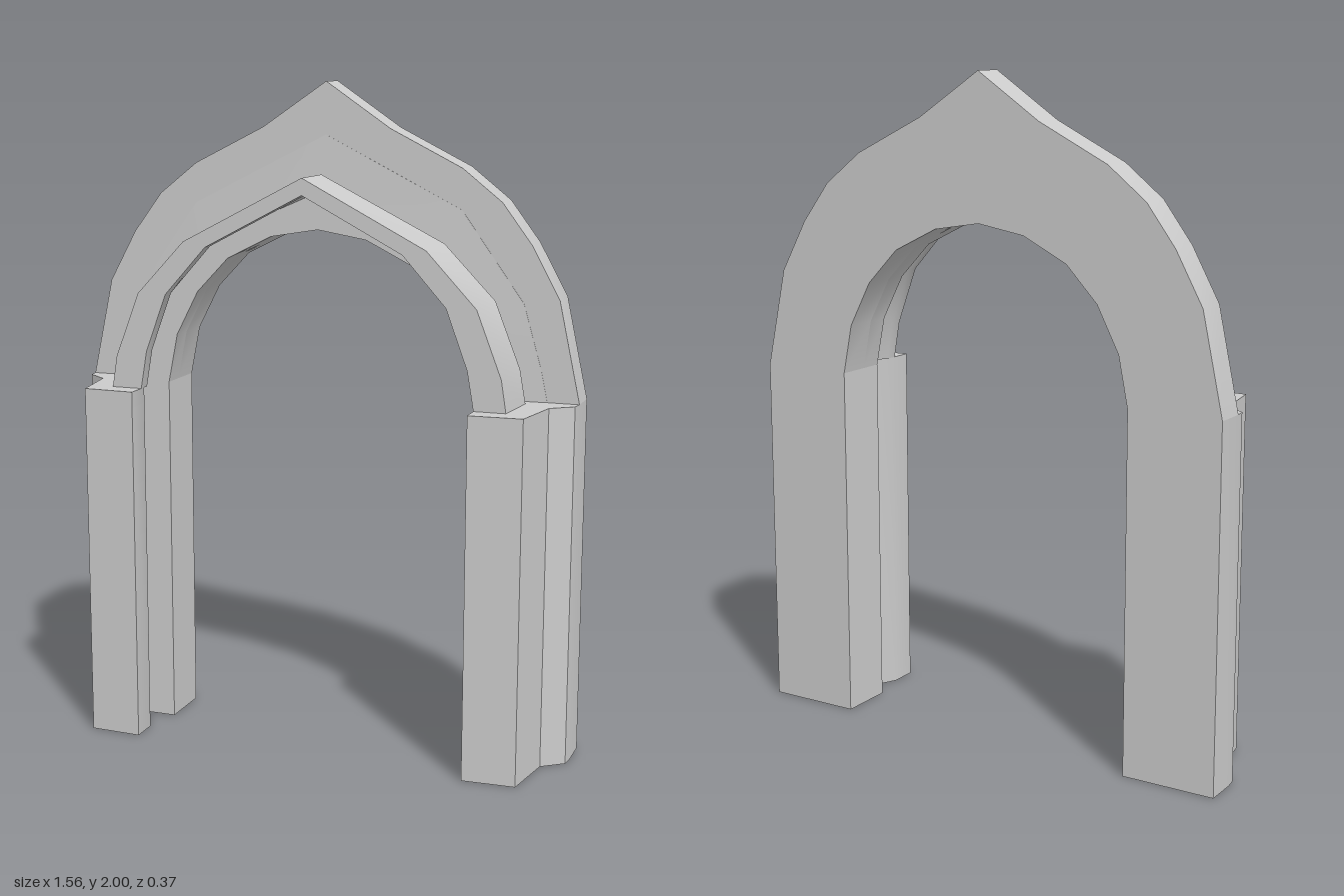
import * as THREE from 'three';
import { toCreasedNormals } from 'three/addons/utils/BufferGeometryUtils.js';

const SPRING = 1.085; // height where the arch leaves the pillars
const material = new THREE.MeshStandardMaterial({ color: 0xcccccc });

// Half rails of the arch, from the spring at +x up to the apex
const OUTER = [[0.78, SPRING], [0.715, 1.385], [0.63, 1.54], [0.54, 1.66], [0.42, 1.755], [0.2, 1.865], [0, 2]];
const OPENING = [[0.49, SPRING], [0.46, 1.235], [0.39, 1.37], [0.29, 1.475], [0.15, 1.545], [0, 1.57]];
const PANEL = [[0.685, SPRING], [0.665, 1.18], [0.61, 1.37], [0.42, 1.635], [0, 1.845]];
const MOULD_BACK = [[0.63, SPRING], [0.612, 1.185], [0.535, 1.38], [0.38, 1.54], [0, 1.73]];
const MOULD_FRONT = [[0.615, SPRING], [0.6, 1.18], [0.525, 1.375], [0.375, 1.535], [0, 1.73]];
const MOULD_INNER = [[0.52, SPRING], [0.5, 1.2], [0.435, 1.375], [0.305, 1.52], [0, 1.68]];
const NECK = [[0.575, SPRING], [0.555, 1.19], [0.485, 1.38], [0.345, 1.53], [0, 1.68]];

// Mirrors a half rail into a full one running from +x to -x
const fullRail = (half) => [...half, ...half.slice(0, -1).reverse().map(([x, y]) => [-x, y])];

const toShape = (points) => new THREE.Shape(points.map(([x, y]) => new THREE.Vector2(x, y)));

function addPart(group, name, geometry) {
  const mesh = new THREE.Mesh(toCreasedNormals(geometry, 0.6), material);
  mesh.name = name;
  group.add(mesh);
}

// Flat arched band between two rails, from z0 to z1
function archBand(outer, inner, z0, z1) {
  const shape = toShape([...fullRail(outer), ...fullRail(inner).reverse()]);
  const geometry = new THREE.ExtrudeGeometry(shape, { depth: z1 - z0, bevelEnabled: false });
  return geometry.translate(0, 0, z0);
}

// Moulding whose closed cross-section is given by rails at their own depths
function archMoulding(section) {
  const rails = section.map(([half, z]) => fullRail(half).map(([x, y]) => [x, y, z]));
  const positions = [];
  rails.forEach((rail, j) => {
    const next = rails[(j + 1) % rails.length];
    for (let i = 0; i < rail.length - 1; i++) {
      positions.push(...rail[i], ...rail[i + 1], ...next[i + 1]);
      positions.push(...rail[i], ...next[i + 1], ...next[i]);
    }
  });
  const geometry = new THREE.BufferGeometry();
  geometry.setAttribute('position', new THREE.Float32BufferAttribute(positions, 3));
  return geometry;
}

// Pillar extruded upward from its stepped plan (x, z)
function pillar(side) {
  const plan = [
    [0.78, -0.185], [0.78, -0.085], [0.775, -0.05], [0.71, 0], [0.68, 0.178], [0.52, 0.185],
    [0.52, 0.1], [0.577, -0.015], [0.49, -0.015], [0.49, -0.185],
  ];
  const shape = toShape(plan.map(([x, z]) => [side * x, -z]));
  const geometry = new THREE.ExtrudeGeometry(shape, { depth: SPRING, bevelEnabled: false });
  return geometry.rotateX(-Math.PI / 2);
}

export function createModel() {
  const group = new THREE.Group();
  group.name = 'archway';

  // Pillars
  addPart(group, 'leftPillar', pillar(1));
  addPart(group, 'rightPillar', pillar(-1));

  // Pointed back plate with its rounded opening
  addPart(group, 'backPlate', archBand(OUTER, OPENING, -0.185, -0.085));

  // Slightly raised panel on the plate
  addPart(group, 'facePanel', archMoulding([[PANEL, -0.09], [PANEL, -0.084], [NECK, -0.078], [NECK, -0.09]]));

  // Inner ring joining the plate to the front moulding
  addPart(group, 'innerRing', archBand(NECK, OPENING, -0.085, -0.015));

  // Projecting front moulding
  addPart(group, 'frontMoulding', archMoulding([
    [MOULD_BACK, -0.045], [MOULD_FRONT, 0.12], [MOULD_INNER, 0.12], [MOULD_INNER, 0.08], [NECK, -0.015], [NECK, -0.045],
  ]));

  return group;
}
